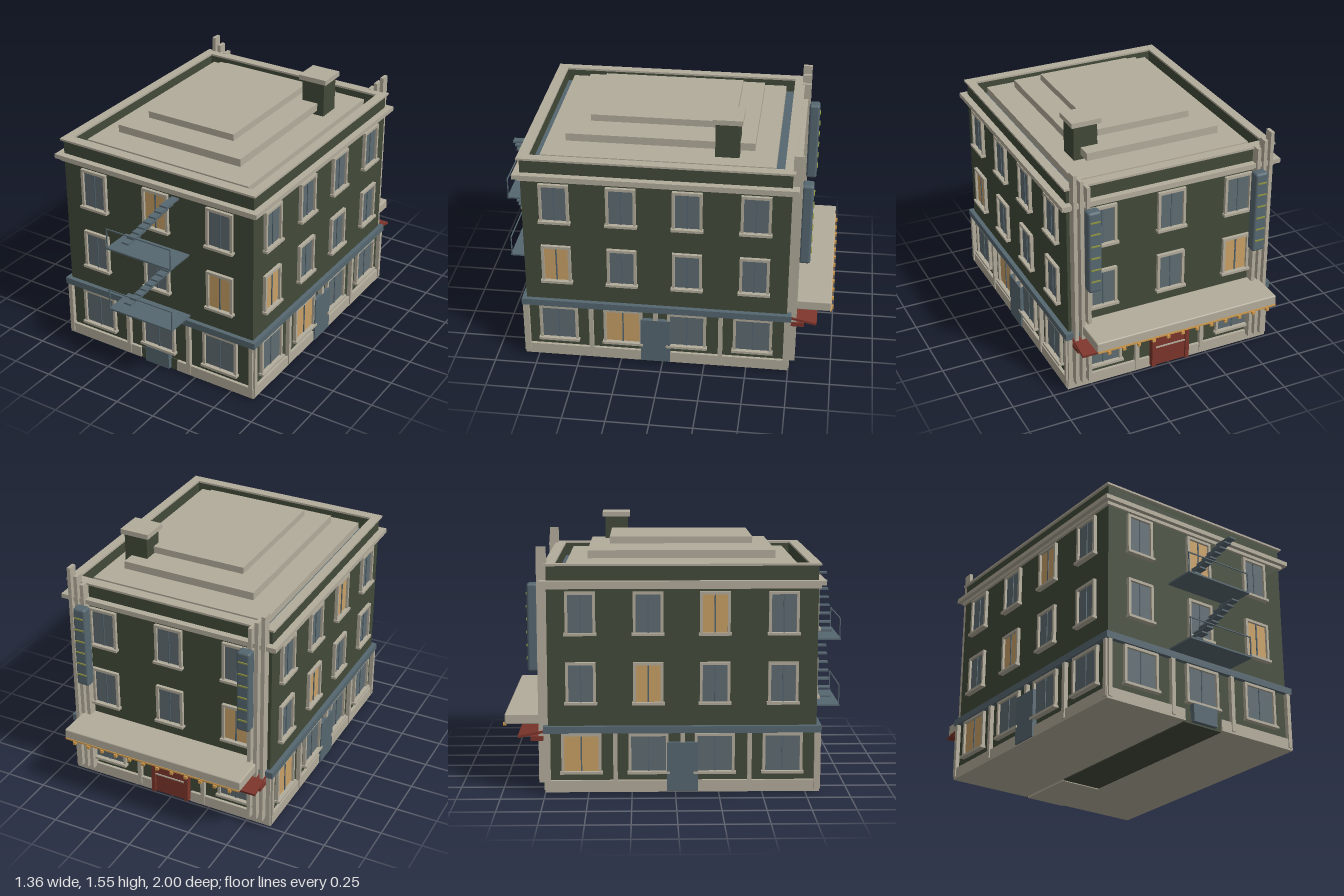
import * as THREE from 'three';
import { RoundedBoxGeometry } from 'three/addons/geometries/RoundedBoxGeometry.js';

const mat = (name, color) => new THREE.MeshStandardMaterial({ name, color });

export function createModel() {
  const green = mat('green brick', 0x424a39), stone = mat('stone', 0xb3ac9b);
  const slate = mat('slate metal', 0x566770), glass = mat('window glass', 0x5f6c72);
  const lit = mat('lit window', 0xc9a066), red = mat('red paint', 0x7c352b);
  const amber = mat('amber bulb', 0xd09a4c), olive = mat('sign bar', 0x8f9440);

  const model = new THREE.Group();
  model.name = 'cornerBuilding';
  const CZ = 0.04, HX = 0.64, HZ = 0.77; // body centre and half sizes

  // Box given by its min and max on each axis
  const box = (parent, name, m, x0, x1, y0, y1, z0, z1) => {
    const mesh = new THREE.Mesh(new THREE.BoxGeometry(x1 - x0, y1 - y0, z1 - z0), m);
    mesh.position.set((x0 + x1) / 2, (y0 + y1) / 2, (z0 + z1) / 2);
    mesh.name = name;
    parent.add(mesh);
    return mesh;
  };
  // Slab centred on the body
  const slab = (name, m, hx, hz, y0, y1) => box(model, name, m, -hx, hx, y0, y1, CZ - hz, CZ + hz);
  const rect = (T, hx, hz) => new T([[-hx, -hz], [hx, -hz], [hx, hz], [-hx, hz]].map(p => new THREE.Vector2(...p)));
  // Rectangular ring lying flat
  const ring = (name, m, ox, oz, ix, iz, y0, y1) => {
    const s = rect(THREE.Shape, ox, oz);
    s.holes.push(rect(THREE.Path, ix, iz));
    const mesh = new THREE.Mesh(new THREE.ExtrudeGeometry(s, { depth: y1 - y0, bevelEnabled: false }), m);
    mesh.rotation.x = -Math.PI / 2;
    mesh.position.set(0, y0, CZ);
    mesh.name = name;
    model.add(mesh);
  };

  // Main body, bands and cornice
  slab('body', green, HX, HZ, 0.02, 1.2);
  slab('baseFloor', stone, HX, HZ, 0.012, 0.02);
  slab('shopBand', slate, 0.667, 0.797, 0.36, 0.4);
  slab('lowerCornice', stone, 0.655, 0.785, 1.19, 1.21);
  slab('upperCornice', stone, 0.68, 0.81, 1.21, 1.237);
  ring('parapet', green, HX, HZ, 0.6, 0.722, 1.237, 1.32);
  ring('parapetCap', stone, 0.655, 0.785, 0.6, 0.722, 1.32, 1.332);

  // Roof
  slab('roofDeck', slate, 0.6, 0.722, 1.237, 1.245);
  slab('roofTier', stone, 0.545, 0.67, 1.262, 1.308);
  slab('roofTier', stone, 0.413, 0.543, 1.337, 1.383);
  slab('roofTier', stone, 0.288, 0.417, 1.41, 1.45);
  box(model, 'chimney', green, 0.31, 0.455, 1.24, 1.52, -0.418, -0.28);
  box(model, 'chimneyCap', stone, 0.292, 0.472, 1.517, 1.547, -0.435, -0.265);

  // Window with frame, sill and mullion; z = 0 is the wall
  const addWindow = (wall, x, y0, y1, w, isLit) => {
    const g = new THREE.Group(), h = w / 2, t = 0.016;
    g.name = 'window';
    g.position.x = x;
    wall.add(g);
    box(g, 'pane', isLit ? lit : glass, -h + t, h - t, y0, y1 - t, -0.002, 0.006);
    box(g, 'mullion', slate, -0.004, 0.004, y0, y1 - t, 0.006, 0.011);
    for (const s of [-1, 1]) box(g, 'frameSide', stone, s * (h - t / 2) - t / 2, s * (h - t / 2) + t / 2, y0, y1, 0, 0.02);
    box(g, 'frameTop', stone, -h + t, h - t, y1 - t, y1, 0, 0.02);
    box(g, 'sill', stone, -h - 0.007, h + 0.007, y0 - 0.015, y0, 0, 0.032);
  };

  // Four walls: columns, lit windows as "floor,column", entrance in the plinth
  const short = [-0.427, 0, 0.427], long = [-0.58, -0.195, 0.185, 0.575];
  const walls = [
    { name: 'frontWall', turn: 0, half: HX, out: HZ, cols: short, lit: ['1,2', '2,1'], gap: true },
    { name: 'leftWall', turn: 1, half: HZ, out: HX, cols: long, lit: ['0,1', '1,0'] },
    { name: 'backWall', turn: 2, half: HX, out: HZ, cols: short, lit: ['1,2'], gap: true, door: true },
    { name: 'rightWall', turn: 3, half: HZ, out: HX, cols: long, lit: ['0,0', '1,1', '2,2'] },
  ];
  const floors = [[0.135, 0.357, 0.23], [0.54, 0.77, 0.173], [0.94, 1.175, 0.173]];
  for (const w of walls) {
    const g = new THREE.Group();
    g.name = w.name;
    g.rotation.y = w.turn * Math.PI / 2;
    g.position.set(w.turn === 1 ? w.out : w.turn === 3 ? -w.out : 0, 0,
      CZ + (w.turn === 0 ? w.out : w.turn === 2 ? -w.out : 0));
    model.add(g);
    floors.forEach(([y0, y1, wide], f) => w.cols.forEach((x, c) => {
      if (!(w.door && f === 0 && c === 1)) addWindow(g, x, y0, y1, wide, w.lit.includes(f + ',' + c));
    }));
    const e = w.half + 0.018;
    if (w.gap) {
      box(g, 'plinth', stone, -e, -0.13, 0.012, 0.08, -0.02, 0.018);
      box(g, 'plinth', stone, 0.13, e, 0.012, 0.08, -0.02, 0.018);
    } else {
      box(g, 'plinth', stone, -e, e, 0.012, 0.08, -0.02, 0.018);
      box(g, 'sideDoor', slate, -0.088, 0.088, 0.018, 0.305, 0, 0.027);
    }
    const posts = w.gap ? [-0.213, 0.213] : [-0.385, 0, 0.385];
    for (const x of [-w.half, ...posts, w.half])
      box(g, 'pilaster', stone, x - 0.0125, x + 0.0125, 0.025, 0.36, 0, 0.025);
  }

  // Front hatch and floor strips
  box(model, 'entranceStrip', green, -0.13, 0.13, 0.005, 0.08, -0.34, 0.818);
  box(model, 'frontHatch', slate, -0.083, 0.083, 0.015, 0.12, 0.8, 0.845);
  box(model, 'backPath', stone, -0.13, 0.13, 0, 0.016, -0.73, -0.34);

  // Back door
  box(model, 'backDoor', red, -0.11, 0.11, 0.018, 0.31, -0.755, -0.72);
  for (const s of [-1, 1]) box(model, 'doorPost', red, s * 0.11 - 0.012, s * 0.11 + 0.012, 0.018, 0.31, -0.768, -0.73);
  box(model, 'doorBar', stone, -0.098, 0.098, 0.14, 0.148, -0.761, -0.755);

  // Fire escape: two landings with railing and stairs
  for (const y of [0.415, 0.82]) {
    const g = new THREE.Group();
    g.name = 'fireEscape';
    g.position.y = y;
    model.add(g);
    box(g, 'landing', slate, -0.22, 0.22, 0, 0.01, 0.81, 1);
    box(g, 'rail', slate, -0.22, 0.22, 0.127, 0.133, 0.991, 0.997);
    for (const x of [-0.217, 0.217]) box(g, 'railPost', slate, x - 0.003, x + 0.003, 0.01, 0.13, 0.991, 0.997);
    for (let i = 0; i < 8; i++) {
      const x = -0.12 + i * 0.0386, sy = 0.04 + i * 0.0453;
      box(g, 'step', slate, x - 0.024, x + 0.024, sy, sy + 0.01, 0.835, 0.955);
    }
  }

  // Back corner fins and upright signs
  for (const s of [-1, 1]) {
    for (const [x, top] of [[0.61, 1.425], [0.57, 1.38], [0.53, 1.335]])
      box(model, 'cornerFin', stone, s * x - 0.011, s * x + 0.011, 0.06, top, -0.786, -0.73);
    const sign = new THREE.Mesh(new RoundedBoxGeometry(0.08, 0.51, 0.066, 2, 0.015), slate);
    sign.name = 'uprightSign';
    sign.position.set(s * 0.52, 0.955, -0.814);
    model.add(sign);
    for (let i = 0; i < 6; i++) {
      const y = 0.775 + i * 0.075;
      box(model, 'signBar', olive, s * 0.52 - 0.028, s * 0.52 + 0.028, y - 0.004, y + 0.004, -0.853, -0.846);
    }
  }

  // Canopy with bulbs
  const canopy = new THREE.Mesh(new RoundedBoxGeometry(1.15, 0.062, 0.255, 2, 0.008), stone);
  canopy.name = 'canopy';
  canopy.position.set(0, 0.425, -0.8565);
  model.add(canopy);
  box(model, 'canopyTrim', amber, -0.57, 0.57, 0.39, 0.4, -0.988, -0.978);
  for (let i = 0; i < 12; i++) {
    const x = -0.512 + i * 0.0925;
    box(model, 'bulb', amber, x - 0.009, x + 0.009, 0.375, 0.393, -0.998, -0.98);
  }

  // Red awning under the canopy
  const awning = box(model, 'awning', red, -0.628, 0.628, 0.341, 0.355, -0.905, -0.75);
  awning.rotation.x = -0.2;
  box(model, 'awningBeam', red, -0.628, 0.628, 0.31, 0.336, -0.832, -0.745);
  return model;
}
